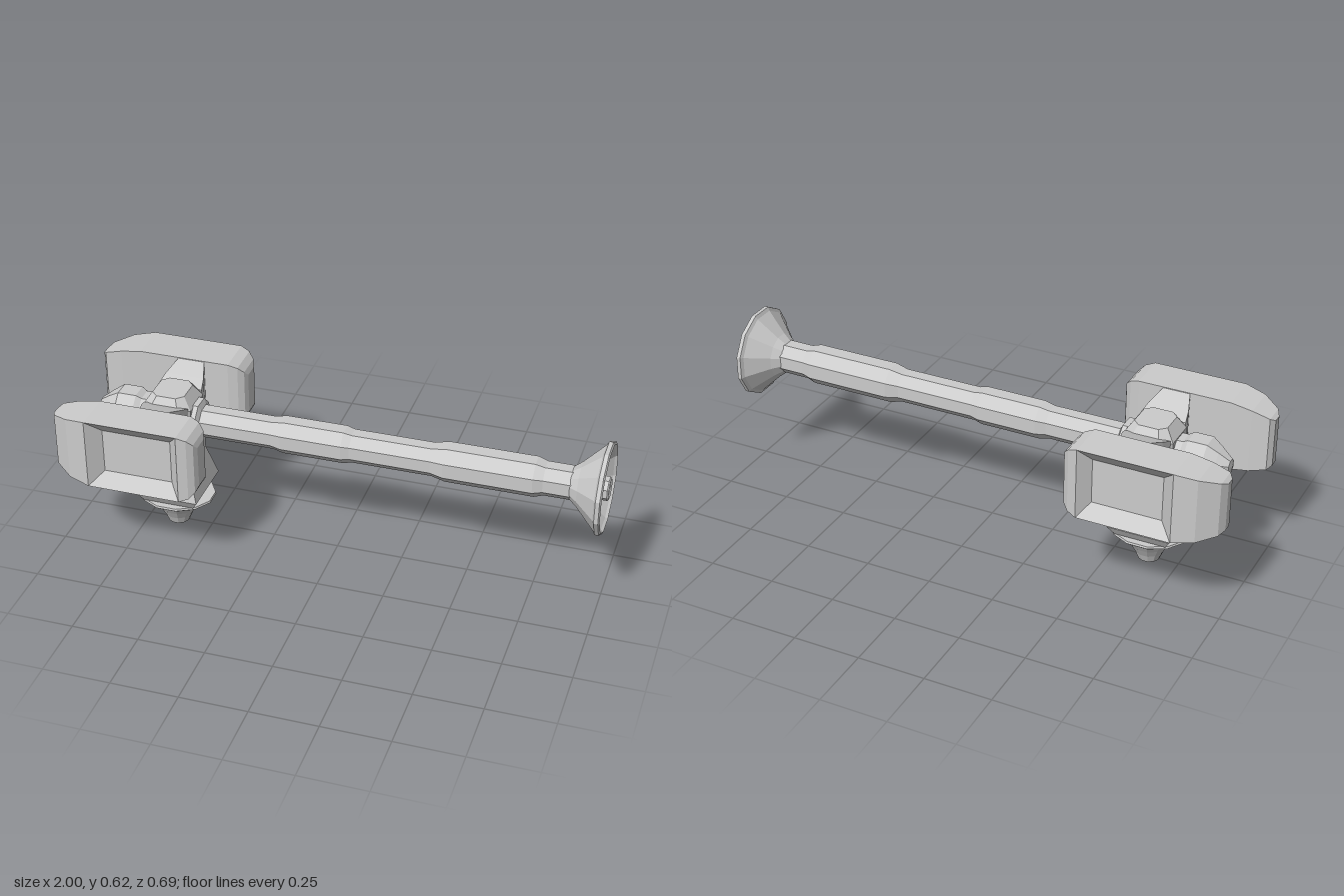
import * as THREE from 'three';

const AXIS_Y = 0.457, HUB_X = -0.635;
const material = new THREE.MeshStandardMaterial({ color: 0xcccccc, flatShading: true, side: THREE.DoubleSide });

// Corners of a section [t, u0, u1, v0, v1], with optional cut corners
function corners([, u0, u1, v0, v1], cut) {
  if (!cut) return [[u0, v0], [u1, v0], [u1, v1], [u0, v1]];
  const c = cut * Math.min(u1 - u0, v1 - v0);
  return [[u0 + c, v0], [u1 - c, v0], [u1, v0 + c], [u1, v1 - c],
    [u1 - c, v1], [u0 + c, v1], [u0, v1 - c], [u0, v0 + c]];
}

// Join rectangular sections along an axis; (u, v) is (y, z) for x, (z, x) for y and (x, y) for z
function loft(axis, sections, { cut = 0, startCap = true, endCap = true, skip = () => false } = {}) {
  const place = {
    x: (u, v, t) => [t, u, v],
    y: (u, v, t) => [v, t, u],
    z: (u, v, t) => [u, v, t],
  }[axis];
  const rings = sections.map(s => corners(s, cut).map(([u, v]) => place(u, v, s[0])));
  const out = [];
  const tri = (a, b, c) => out.push(...a, ...b, ...c);
  for (let k = 0; k < rings.length - 1; k++) {
    const a = rings[k], b = rings[k + 1], n = a.length;
    for (let i = 0; i < n; i++) {
      if (skip(k, i)) continue;
      const j = (i + 1) % n;
      tri(a[i], a[j], b[j]);
      tri(a[i], b[j], b[i]);
    }
  }
  const first = rings[0], last = rings[rings.length - 1];
  for (let i = 1; i < first.length - 1; i++) {
    if (startCap) tri(first[0], first[i + 1], first[i]);
    if (endCap) tri(last[0], last[i], last[i + 1]);
  }
  const g = new THREE.BufferGeometry();
  g.setAttribute('position', new THREE.Float32BufferAttribute(out, 3));
  g.computeVertexNormals();
  return g;
}

// Section centred on (cu, cv) with half sizes hu, hv
const centred = (t, cu, hu, cv, hv) => [t, cu - hu, cu + hu, cv - hv, cv + hv];

// Faceted turned shape from [radius, height] pairs
function turned(profile, sides) {
  return new THREE.LatheGeometry(profile.map(([r, h]) => new THREE.Vector2(r, h)), sides, Math.PI / sides);
}

// Turned shape lying along the x axis
const turnedX = (profile, sides) => turned(profile, sides).rotateZ(-Math.PI / 2).translate(0, AXIS_Y, 0);

export function createModel() {
  const model = new THREE.Group();
  const add = (name, geometry, parent = model) => {
    const mesh = new THREE.Mesh(geometry, material);
    mesh.name = name;
    parent.add(mesh);
    return mesh;
  };

  // Foot: curved cone under an oval plate
  add('footCone', turned([[0, 0], [0.041, 0], [0.053, 0.03], [0.07, 0.06], [0.088, 0.088], [0.103, 0.108]], 12))
    .position.x = HUB_X;
  const plate = add('footPlate', turned([[0, 0.106], [0.117, 0.106], [0.13, 0.116], [0.128, 0.124], [0, 0.124]], 12));
  plate.position.x = HUB_X;
  plate.scale.x = 1.13;

  // Neck: square block tapering up into the hub
  add('neck', loft('y', [
    centred(0.115, 0, 0.09, HUB_X, 0.09),
    centred(0.127, 0, 0.1, HUB_X, 0.1),
    centred(0.16, 0, 0.12, HUB_X, 0.12),
    centred(0.285, 0, 0.088, HUB_X, 0.085),
    centred(0.36, 0, 0.088, HUB_X, 0.085),
  ]));

  // Hub: block with cut corners and a sloped top
  add('hub', loft('y', [
    centred(0.33, 0, 0.085, HUB_X, 0.082),
    centred(0.375, 0, 0.1, HUB_X, 0.092),
    centred(0.53, 0, 0.1, HUB_X, 0.092),
    centred(0.575, 0, 0.068, HUB_X, 0.062),
  ], { cut: 0.2 }));

  // Blunt tail behind the hub
  add('tail', turnedX([[0, -0.925], [0.028, -0.92], [0.06, -0.88], [0.088, -0.84], [0.088, -0.77], [0.075, -0.75], [0.075, -0.66]], 8));

  // Collar and stepped barrel
  add('collar', turnedX([[0.07, -0.57], [0.084, -0.55], [0.084, -0.525], [0.062, -0.515]], 8));
  add('barrel', turnedX([
    [0.061, -0.56], [0.061, -0.24], [0.07, -0.2], [0.07, 0.03], [0.062, 0.06],
    [0.062, 0.36], [0.074, 0.41], [0.074, 0.735], [0.063, 0.77], [0.063, 0.88],
  ], 8));

  // Flared dish with a rim, and the hollow muzzle inside it
  add('dish', turnedX([
    [0.061, 0.865], [0.085, 0.895], [0.158, 0.968], [0.171, 0.975], [0.171, 0.99], [0.162, 0.995],
    [0.155, 0.985], [0.072, 0.915], [0, 0.905],
  ], 12));
  add('muzzle', turnedX([
    [0.066, 0.905], [0.06, 0.945], [0.044, 0.965], [0.044, 0.995], [0.038, 1], [0.03, 0.995], [0.027, 0.94], [0, 0.94],
  ], 8));

  // Side pods with sunken outer panels, and the arms holding them
  const podSections = [
    [-1, -0.092, 0.092, 0.215, 0.25],
    [-0.985, -0.103, 0.103, 0.195, 0.28],
    [-0.92, -0.122, 0.122, 0.19, 0.325],
    [-0.84, -0.135, 0.135, 0.19, 0.345],
    [-0.49, -0.135, 0.135, 0.19, 0.345],
    [-0.455, -0.122, 0.122, 0.2, 0.335],
    [-0.434, -0.1, 0.1, 0.215, 0.32],
    [-0.425, -0.08, 0.08, 0.235, 0.3],
  ];
  const podGeometry = loft('x', podSections, { skip: (k, i) => k === 3 && i === 2 });
  const panelGeometry = loft('z', [
    [0.345, -0.84, -0.49, -0.135, 0.135],
    [0.3, -0.79, -0.53, -0.085, 0.085],
  ], { startCap: false });
  const armGeometry = loft('z', [
    centred(0.07, HUB_X, 0.085, 0, 0.085),
    centred(0.12, HUB_X, 0.075, 0, 0.105),
    centred(0.195, HUB_X, 0.05, 0, 0.134),
  ]);
  for (const [side, turn] of [['front', 0], ['back', Math.PI]]) {
    const group = new THREE.Group();
    group.name = side + 'PodAssembly';
    group.position.y = AXIS_Y;
    group.rotation.x = turn;
    add(side + 'Pod', podGeometry, group);
    add(side + 'PodPanel', panelGeometry, group);
    add(side + 'PodArm', armGeometry, group);
    model.add(group);
  }
  return model;
}
